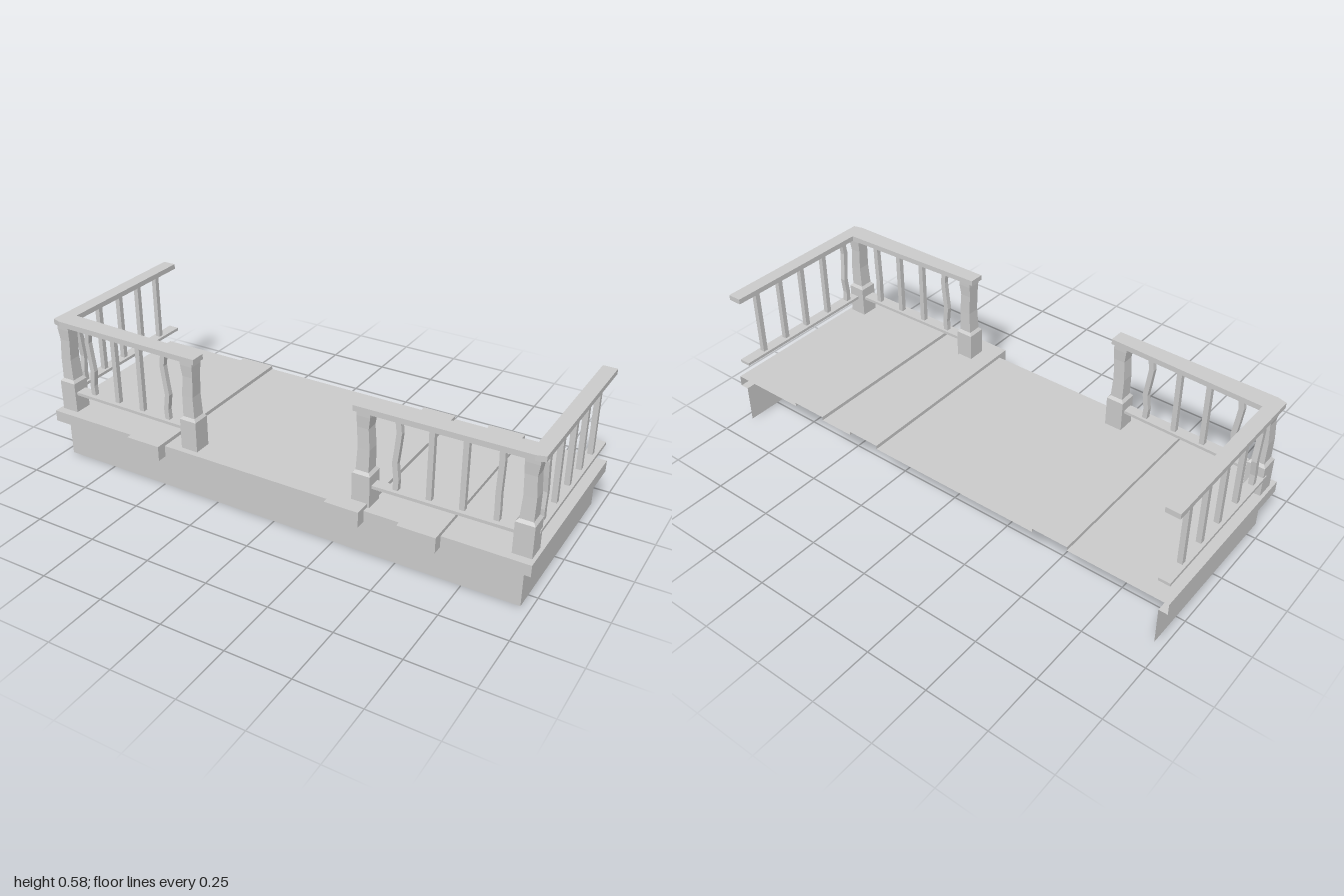
import * as THREE from 'three';

const mat = new THREE.MeshStandardMaterial({ color: 0xcccccc, flatShading: true, side: THREE.DoubleSide });
const BACK = -0.39, FRONT = 0.355, TOP = 0.2, LIP = 0.155;

function add(parent, name, geometry, x = 0, y = 0, z = 0) {
  const mesh = new THREE.Mesh(geometry, mat);
  mesh.name = name;
  mesh.position.set(x, y, z);
  parent.add(mesh);
  return mesh;
}

// Open sheet joining rows of [x, y, z] points
function sheet(rows) {
  const pos = [];
  for (let i = 0; i < rows.length - 1; i++) {
    for (let j = 0; j < rows[i].length - 1; j++) {
      const a = rows[i][j], b = rows[i][j + 1], c = rows[i + 1][j + 1], d = rows[i + 1][j];
      pos.push(...a, ...b, ...c, ...a, ...c, ...d);
    }
  }
  const g = new THREE.BufferGeometry();
  g.setAttribute('position', new THREE.Float32BufferAttribute(pos, 3));
  g.computeVertexNormals();
  return g;
}

// Upright bar whose sections follow [y, half width x, half depth z, shift x, shift z]
function bar(sections) {
  const g = new THREE.BoxGeometry(2, 1, 2, 1, sections.length - 1, 1);
  const p = g.attributes.position;
  for (let i = 0; i < p.count; i++) {
    const k = Math.round((p.getY(i) + 0.5) * (sections.length - 1));
    const [y, w, d, sx = 0, sz = 0] = sections[k];
    p.setXYZ(i, p.getX(i) * w + sx, y, p.getZ(i) * d + sz);
  }
  g.computeVertexNormals();
  return g;
}

// Flat slab from a plan outline of [x, z] points
function slab(points, height) {
  const shape = new THREE.Shape(points.map(([x, z]) => new THREE.Vector2(x, -z)));
  return new THREE.ExtrudeGeometry(shape, { depth: height, bevelEnabled: false }).rotateX(-Math.PI / 2);
}

function baluster(parent, x, z, wave, alongZ) {
  const sections = [0, 0.16, 0.38, 0.6, 0.8, 1].map((t, i) => {
    const s = wave * [0, 0.3, -0.6, 0.3, 1, 0.1][i];
    return [0.28 + 0.284 * t, 0.01, 0.01, alongZ ? 0 : s, alongZ ? s : 0];
  });
  add(parent, 'baluster', bar(wave ? sections : [sections[0], sections[5]]), x, 0, z);
}

// Corner railing on one side of the porch; s is the sign of x
function railing(s) {
  const g = new THREE.Group();
  g.name = s > 0 ? 'leftRailing' : 'rightRailing';
  const plan = (pts) => pts.map(([x, z]) => [s * x, z]);

  add(g, 'topRail', slab(plan([[0.995, -0.38], [0.995, 0.31], [0.96, 0.32], [0.325, 0.327],
    [0.325, 0.268], [0.94, 0.243], [0.94, -0.38]]), 0.021), 0, 0.56, 0);
  add(g, 'bottomSideRail', slab(plan([[0.99, -0.38], [0.99, 0.27], [0.945, 0.27], [0.945, -0.38]]), 0.012), 0, 0.27, 0);
  add(g, 'bottomFrontRail', slab(plan([[0.93, 0.262], [0.93, 0.312], [0.36, 0.318], [0.36, 0.275]]), 0.012), 0, 0.272, 0);

  // Posts: square plinth, chamfer, then a slightly uneven shaft
  for (const [x, z] of [[0.952, 0.286], [0.363, 0.295]]) {
    add(g, 'post', bar([
      [TOP, 0.035, 0.036], [0.323, 0.035, 0.036], [0.334, 0.025, 0.027],
      [0.42, 0.023, 0.025, s * 0.003], [0.5, 0.022, 0.024, -s * 0.002],
      [0.545, 0.026, 0.027], [0.562, 0.026, 0.027],
    ]), s * x, 0, z);
  }

  // Front balusters
  const waves = s > 0 ? [0.008, 0, 0, 0.002] : [-0.01, 0, 0, -0.009];
  [0.48, 0.604, 0.724, 0.845].forEach((x, i) => {
    baluster(g, s * x, 0.295 - 0.02 * (x - 0.36), waves[i], false);
  });
  // Side balusters
  [0.203, 0.086, -0.038, -0.156, -0.276].forEach((z, i) => {
    baluster(g, s * 0.967, z, i === 0 ? 0.008 : 0, true);
  });
  return g;
}

export function createModel() {
  const model = new THREE.Group();
  model.name = 'porch';

  // Foundation walls, overhanging lip and deck edge, open at the back
  const ring = (x, z, y) => [[-x, y, BACK], [-x, y, z], [x, y, z], [x, y, BACK]];
  add(model, 'foundation', sheet([ring(0.965, 0.32, 0), ring(0.965, 0.32, LIP)]));
  add(model, 'deckEdge', sheet([ring(0.965, 0.32, LIP), ring(1, FRONT, LIP), ring(1, FRONT, TOP)]));

  // Deck floor with raised planks
  const planks = [[-0.605, -0.46], [0.255, 0.39], [0.535, 0.68]];
  const edges = [-1, ...planks.flat(), 1];
  for (let i = 0; i < edges.length; i += 2) {
    const [a, b] = [edges[i], edges[i + 1]];
    add(model, 'deckFloor', sheet([
      [[a, TOP, FRONT], [b, TOP, FRONT]], [[a, TOP, BACK], [b, TOP, BACK]],
    ]));
  }
  const high = 0.215, nose = 0.395;
  for (const [a, b] of planks) {
    const section = (z) => [[a, TOP, z], [a, high, z], [b, high, z], [b, TOP, z]];
    add(model, 'raisedPlank', sheet([section(BACK), section(FRONT)]));
    add(model, 'plankNose', new THREE.BoxGeometry(b - a, high - LIP, nose - FRONT),
      (a + b) / 2, (high + LIP) / 2, (nose + FRONT) / 2);
  }

  model.add(railing(1), railing(-1));
  return model;
}
